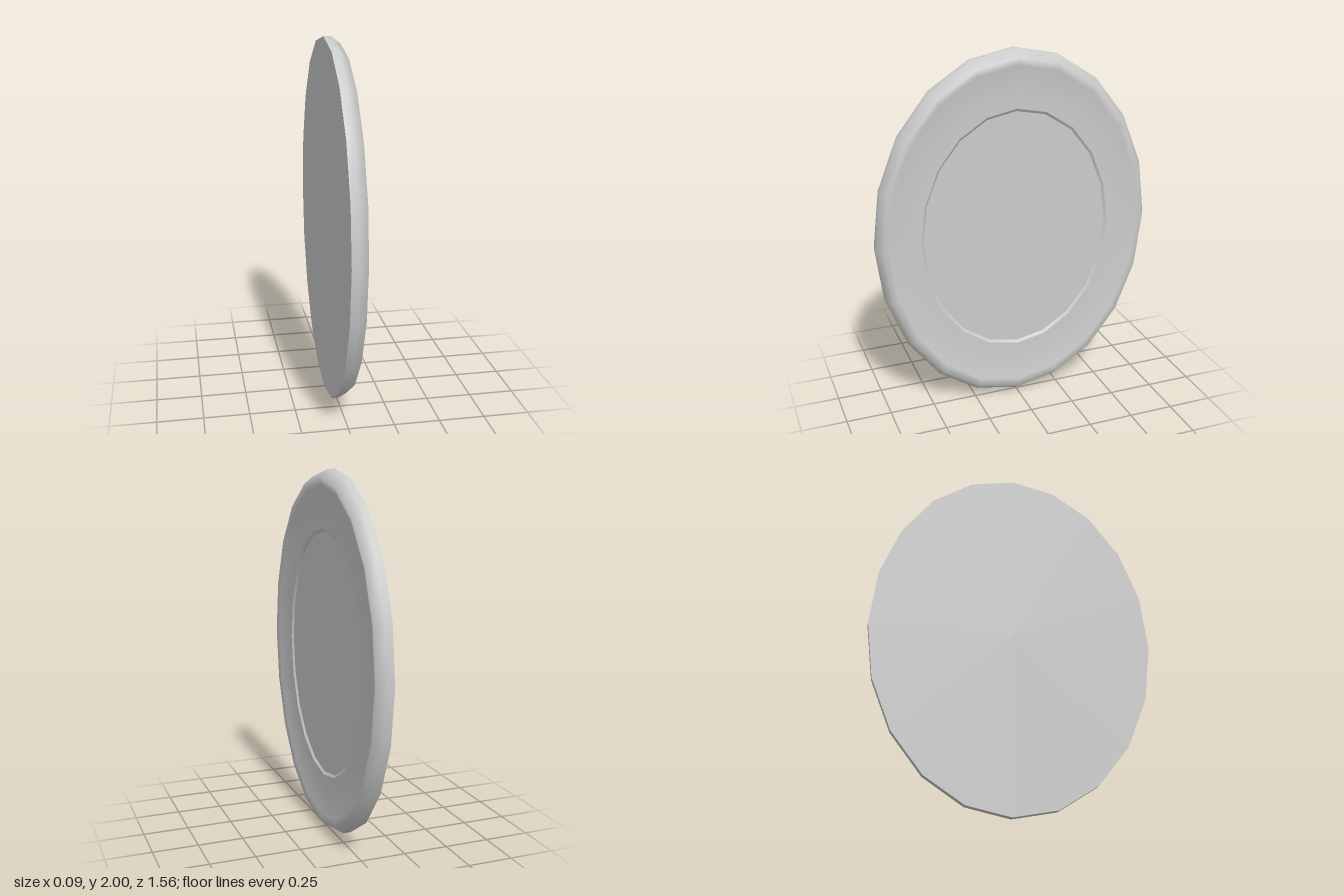
import * as THREE from 'three';

const SIDES = 20;
const WIDTH_RATIO = 0.78;

// Oval ring from a profile of [radius, depth] pairs, facing +x
function ovalPart(name, profile) {
  const points = profile.map(([r, d]) => new THREE.Vector2(r, d));
  const geometry = new THREE.LatheGeometry(points, SIDES);
  geometry.rotateZ(-Math.PI / 2);
  geometry.scale(1, 1, WIDTH_RATIO);
  geometry.translate(0, 1, 0);
  const material = new THREE.MeshStandardMaterial({ color: 0xcccccc });
  const mesh = new THREE.Mesh(geometry, material);
  mesh.name = name;
  return mesh;
}

export function createModel() {
  const group = new THREE.Group();
  group.name = 'ovalMirror';

  // Flat back
  group.add(ovalPart('backPanel', [[0, -0.045], [1, -0.045]]));

  // Frame: upright edge, bevel, ridge and shallow dish
  group.add(ovalPart('frame', [
    [1, -0.045], [1, -0.005], [0.96, 0.045], [0.92, 0.034],
    [0.8, 0.021], [0.69, 0.02],
  ]));

  // Narrow step down to the glass
  group.add(ovalPart('innerLip', [[0.69, 0.02], [0.675, 0.01]]));

  // Glass
  group.add(ovalPart('mirrorGlass', [[0.675, 0.01], [0, 0.01]]));

  return group;
}
